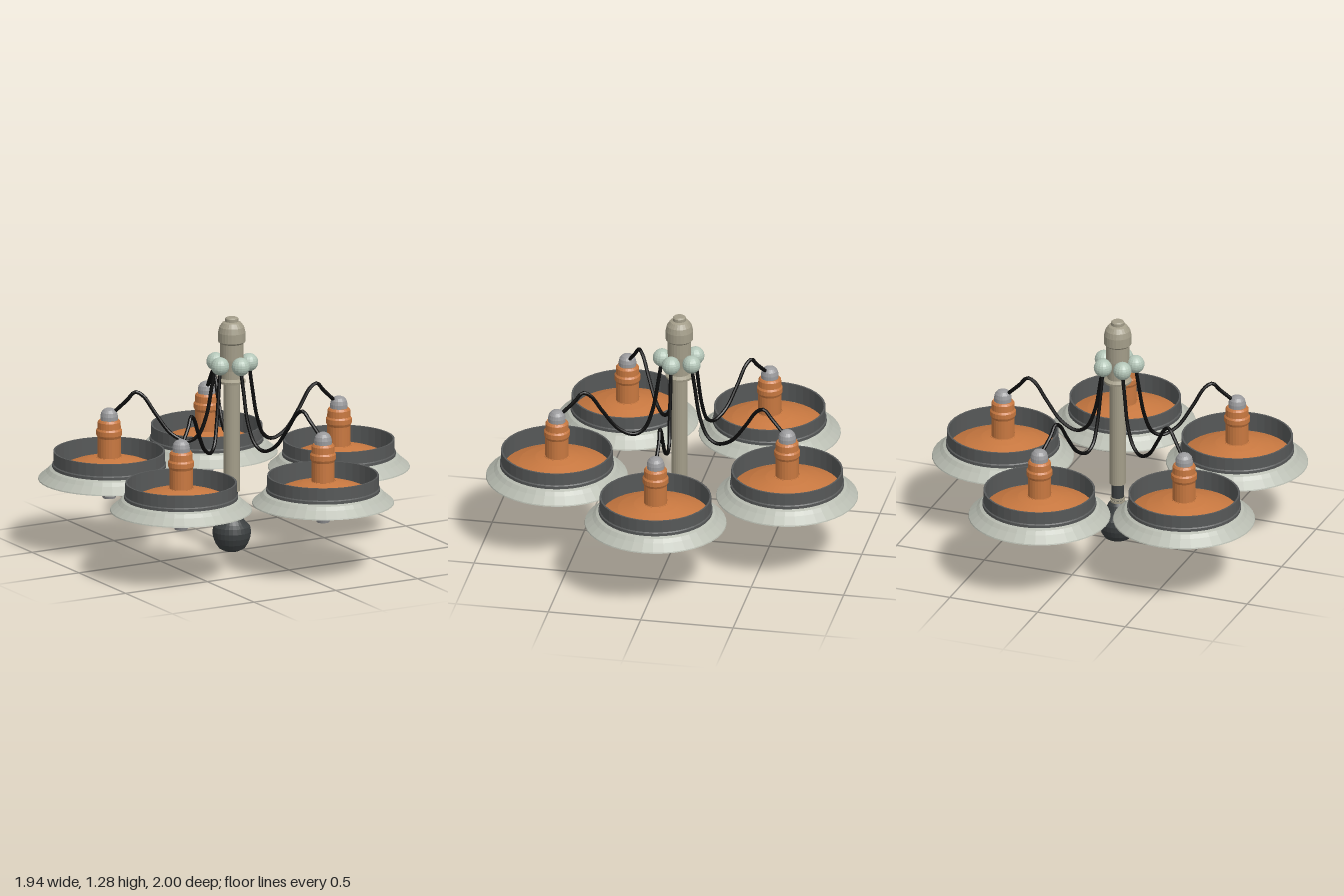
import * as THREE from 'three';

const mat = (color) => new THREE.MeshStandardMaterial({ color, flatShading: true, side: THREE.DoubleSide });
const beige = mat(0xa39d89), dark = mat(0x3b3f40), orange = mat(0xc87840);
const steel = mat(0x9a9a9c), band = mat(0x565858), pale = mat(0xb9bdb2);
const mint = mat(0xb4c6b8), black = mat(0x0c0c0c);

const ARMS = 5, REACH = 0.655;

function add(parent, name, geometry, material) {
  const mesh = new THREE.Mesh(geometry, material);
  mesh.name = name;
  parent.add(mesh);
  return mesh;
}

// Turned part from [radius, height] pairs, listed from bottom to top
function turned(parent, name, profile, material, sides = 32) {
  return add(parent, name, new THREE.LatheGeometry(profile.map(([r, y]) => new THREE.Vector2(r, y)), sides), material);
}

// Point at a given angle (counter-clockwise seen from above), radius and height
const polar = (a, r, y) => new THREE.Vector3(Math.cos(a) * r, y, -Math.sin(a) * r);

function createLamp() {
  const lamp = new THREE.Group();
  lamp.name = 'lamp';
  // Shallow conical shade, open underneath
  turned(lamp, 'shade', [[0.372, 0.386], [0.29, 0.43], [0.2, 0.468], [0.115, 0.494], [0.062, 0.505]], orange, 40);
  turned(lamp, 'shadeRim', [[0.378, 0.383], [0.376, 0.389], [0.335, 0.423], [0.318, 0.442], [0.303, 0.45]], pale, 40);
  turned(lamp, 'shadeBand', [[0.303, 0.448], [0.303, 0.465], [0.297, 0.47], [0.297, 0.536], [0.287, 0.536], [0.287, 0.432]], band, 40);
  // Socket above the shade
  turned(lamp, 'socket', [[0.062, 0.49], [0.062, 0.61], [0.069, 0.625], [0.069, 0.65], [0.062, 0.66],
    [0.061, 0.695], [0.053, 0.706], [0, 0.706]], orange, 24);
  turned(lamp, 'socketCap', [[0.047, 0.70], [0.047, 0.727], [0.042, 0.747], [0.03, 0.762], [0.015, 0.769], [0, 0.771]], steel, 20);
  // Bulb holder below the shade
  turned(lamp, 'bulbHolder', [[0.1, 0.355], [0.112, 0.37], [0.112, 0.392], [0.1, 0.408], [0.082, 0.412],
    [0.082, 0.45], [0.068, 0.456], [0.068, 0.505]], orange, 24);
  turned(lamp, 'bulbTip', [[0, 0.278], [0.034, 0.278], [0.04, 0.295], [0.062, 0.312], [0.1, 0.345], [0.104, 0.358], [0, 0.358]], steel, 24);
  return lamp;
}

export function createModel() {
  const model = new THREE.Group();
  model.name = 'chandelier';
  const body = new THREE.Group();
  body.name = 'body';
  body.position.x = -0.065;
  model.add(body);

  // Central column
  turned(body, 'pole', [[0.043, 0.335], [0.043, 0.95]], beige, 24);
  turned(body, 'hub', [[0, 0.93], [0.072, 0.93], [0.074, 0.943], [0.056, 0.955], [0.056, 1.0], [0.062, 1.06], [0.063, 1.145],
    [0.073, 1.155], [0.073, 1.205], [0.066, 1.235], [0.05, 1.258], [0.035, 1.264], [0.035, 1.28], [0.028, 1.286], [0, 1.286]], beige, 24);
  turned(body, 'lowerNeck', [[0.033, 0.245], [0.033, 0.335], [0.043, 0.338]], dark, 24);
  for (const y of [0.234, 0.25]) {
    const ring = add(body, 'neckRing', new THREE.CylinderGeometry(0.039, 0.039, 0.012, 24), beige);
    ring.position.y = y;
  }
  turned(body, 'bottomKnob', [[0, 0.004], [0.04, 0.008], [0.07, 0.024], [0.088, 0.052], [0.1, 0.085], [0.103, 0.115],
    [0.097, 0.143], [0.078, 0.16], [0.064, 0.18], [0.05, 0.215], [0.036, 0.23], [0.034, 0.25]], dark, 28);

  // Repeated arms: ball joint, hanging cable and lamp
  for (let i = 0; i < ARMS; i++) {
    const a = (i / ARMS) * Math.PI * 2;
    const ballAngle = a - 0.3;

    const ball = add(body, 'ballJoint', new THREE.SphereGeometry(0.049, 16, 12), mint);
    ball.position.copy(polar(ballAngle, 0.094, 1.035));

    const path = new THREE.CatmullRomCurve3([
      polar(ballAngle, 0.096, 1.01), polar(a - 0.24, 0.112, 0.9), polar(a - 0.18, 0.142, 0.73), polar(a - 0.1, 0.185, 0.625),
      polar(a - 0.06, 0.24, 0.596), polar(a - 0.04, 0.325, 0.635), polar(a - 0.025, 0.41, 0.745),
      polar(a - 0.015, 0.475, 0.84), polar(a - 0.01, 0.517, 0.86), polar(a, 0.56, 0.815), polar(a, 0.63, 0.748),
    ]);
    add(body, 'cable', new THREE.TubeGeometry(path, 56, 0.01, 8), black);

    const lamp = createLamp();
    lamp.position.copy(polar(a, REACH, 0));
    body.add(lamp);
  }
  return model;
}
